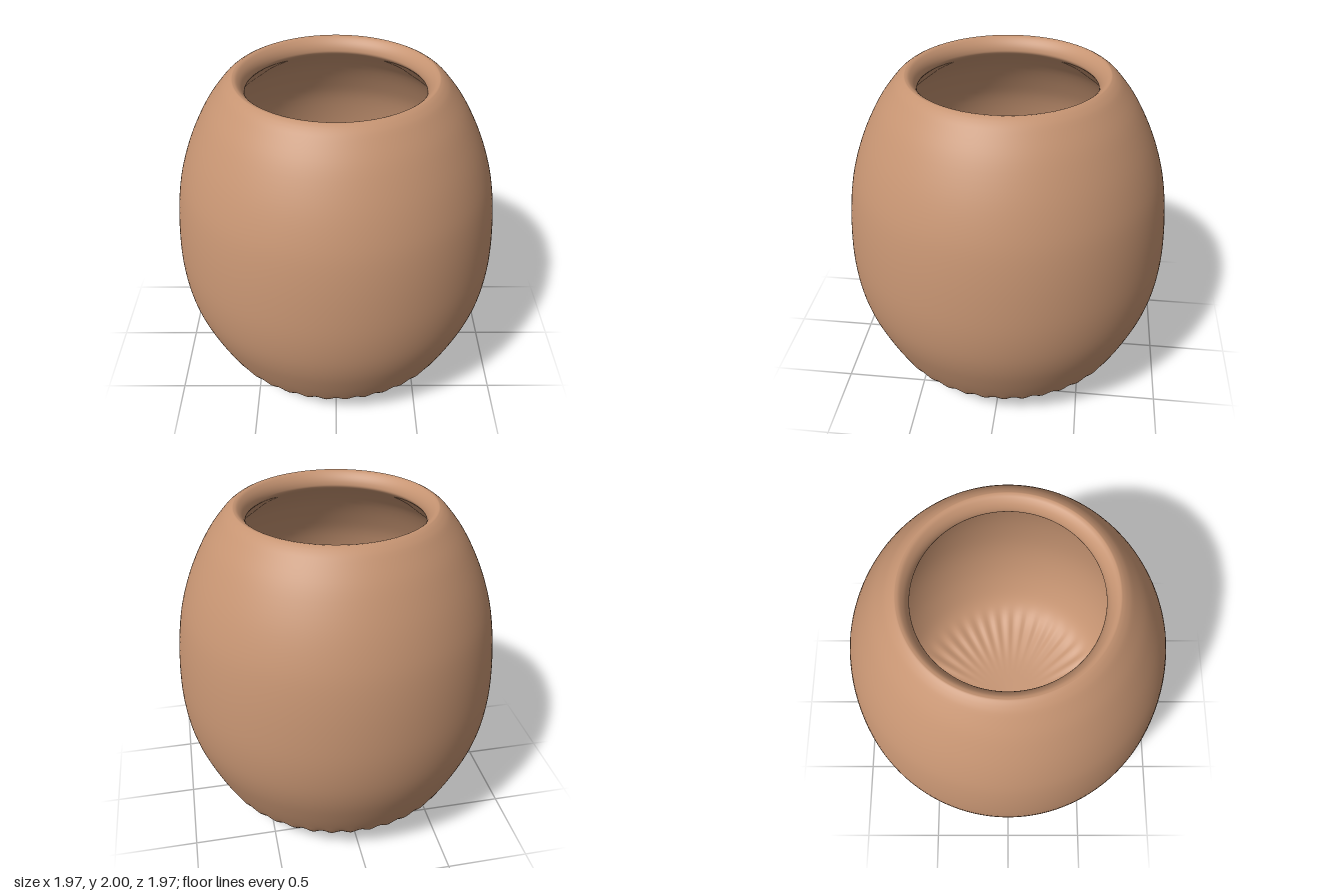
import * as THREE from 'three';
import { mergeVertices } from 'three/addons/utils/BufferGeometryUtils.js';

const SEGMENTS = 240;
const RIPPLES = 40;
const v2 = ([x, y]) => new THREE.Vector2(x, y);
const smooth = (pts, n) => new THREE.SplineCurve(pts.map(v2)).getPoints(n);

// Closed wall profile: shallow conical foot, rounded belly, soft rim, hollow inside
function wallProfile() {
  const outside = smooth([
    [0, 0.005], [0.2, 0.02], [0.4, 0.037], [0.58, 0.068], [0.69, 0.115], [0.765, 0.18], [0.81, 0.25],
    [0.875, 0.39], [0.935, 0.55], [0.97, 0.71], [0.983, 0.9], [0.972, 1.12], [0.945, 1.32],
    [0.905, 1.48], [0.84, 1.65], [0.75, 1.82], [0.66, 1.94], [0.615, 1.983], [0.585, 2],
  ], 72);
  const inside = smooth([
    [0.585, 2], [0.562, 1.993], [0.535, 1.965], [0.52, 1.93], [0.525, 1.9], [0.58, 1.85],
    [0.67, 1.75], [0.76, 1.6], [0.83, 1.44], [0.88, 1.2], [0.9, 0.95], [0.89, 0.75],
    [0.85, 0.56], [0.79, 0.4], [0.72, 0.28], [0.63, 0.2], [0.5, 0.145], [0.3, 0.105], [0, 0.085],
  ], 72);
  const points = [...outside, ...inside.slice(1)];
  points[0].x = points[points.length - 1].x = 0;
  return points;
}

// Fine radial ripples around the lower corner, fading towards centre and belly
function addRipples(geometry) {
  const p = geometry.attributes.position;
  for (let i = 0; i < p.count; i++) {
    const x = p.getX(i), y = p.getY(i), z = p.getZ(i);
    const r = Math.hypot(x, z);
    const fade = THREE.MathUtils.smoothstep(r, 0.25, 0.65) * (1 - THREE.MathUtils.smoothstep(y, 0.13, 0.27));
    const d = 0.005 * fade * Math.cos(RIPPLES * Math.atan2(z, x));
    const k = r > 0 ? 1 - d / r : 1;
    p.setXYZ(i, x * k, y + d, z * k);
  }
}

export function createModel() {
  const group = new THREE.Group();
  group.name = 'vase';

  let geometry = new THREE.LatheGeometry(wallProfile(), SEGMENTS);
  addRipples(geometry);
  // Weld the seam so the shading runs smoothly all round
  geometry.deleteAttribute('uv');
  geometry.deleteAttribute('normal');
  geometry = mergeVertices(geometry, 1e-5);
  geometry.computeVertexNormals();

  const body = new THREE.Mesh(geometry, new THREE.MeshStandardMaterial({ color: 0xc69472 }));
  body.name = 'vaseBody';
  group.add(body);
  return group;
}
